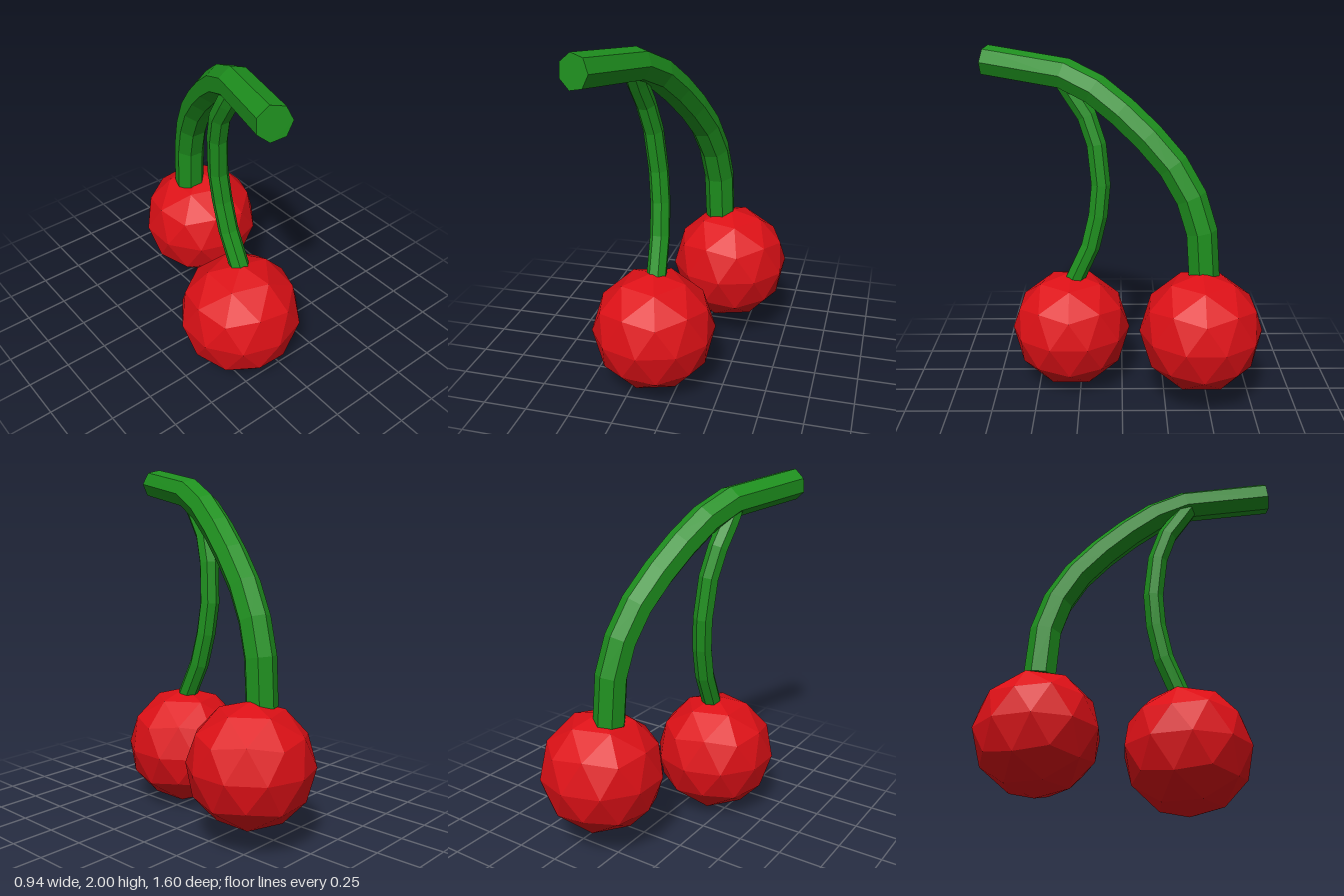
import * as THREE from 'three';

const SIDES = 7;
const ACROSS = new THREE.Vector3(0.947, 0, 0.323); // horizontal, square to the stem's plane

const red = new THREE.MeshStandardMaterial({ color: 0xdd1016, flatShading: true });
const green = new THREE.MeshStandardMaterial({ color: 0x1e8f1e, flatShading: true });

// Seven-sided tube through the given points, closed at both ends
function stem(name, points, radius) {
  const path = points.map(p => new THREE.Vector3(...p));
  const last = path.length - 1;
  const pos = [], index = [];
  const dir = (a, b) => path[b].clone().sub(path[a]).normalize();

  path.forEach((p, i) => {
    const tangent = dir(Math.max(i - 1, 0), Math.max(i, 1))
      .add(dir(Math.min(i, last - 1), Math.min(i + 1, last))).normalize();
    const side = ACROSS.clone().addScaledVector(tangent, -ACROSS.dot(tangent)).normalize();
    const up = side.clone().cross(tangent);
    for (let j = 0; j < SIDES; j++) {
      const a = (j / SIDES) * Math.PI * 2;
      const v = p.clone()
        .addScaledVector(side, radius * Math.cos(a))
        .addScaledVector(up, radius * Math.sin(a));
      pos.push(v.x, v.y, v.z);
    }
  });

  for (let i = 0; i < last; i++) {
    for (let j = 0; j < SIDES; j++) {
      const k = (j + 1) % SIDES;
      const a = i * SIDES + j, b = i * SIDES + k;
      const c = b + SIDES, d = a + SIDES;
      index.push(a, d, b, b, d, c);
    }
  }
  // End caps
  const e = last * SIDES;
  for (let j = 1; j < SIDES - 1; j++) index.push(0, j, j + 1, e, e + j + 1, e + j);

  const geo = new THREE.BufferGeometry();
  geo.setAttribute('position', new THREE.Float32BufferAttribute(pos, 3));
  geo.setIndex(index);
  geo.computeVertexNormals();
  const mesh = new THREE.Mesh(geo, green);
  mesh.name = name;
  return mesh;
}

// Faceted fruit with a corner at the very top
function cherry(name, x, y, z) {
  const geo = new THREE.IcosahedronGeometry(0.35, 1);
  geo.rotateZ(-Math.atan2(2, 1 + Math.sqrt(5)));
  const mesh = new THREE.Mesh(geo, red);
  mesh.name = name;
  mesh.position.set(x, y, z);
  return mesh;
}

export function createModel() {
  const group = new THREE.Group();
  group.name = 'cherryPair';

  group.add(cherry('frontCherry', -0.14, 0.355, 0.305));
  group.add(cherry('backCherry', 0.138, 0.46, -0.447));

  // Main stem lies in one upright plane: [z, y]
  const main = [
    [0.775, 1.917], [0.32, 1.862], [0.15, 1.785], [0, 1.672], [-0.145, 1.54],
    [-0.28, 1.39], [-0.38, 1.22], [-0.44, 1.03], [-0.46, 0.765],
  ].map(([z, y]) => [-0.352 + 0.341 * (0.775 - z), y, z]);
  group.add(stem('mainStem', main, 0.09));

  // Thin stem branching down to the front cherry
  group.add(stem('sideStem', [
    [-0.215, 1.85, 0.34], [-0.21, 1.755, 0.28], [-0.195, 1.63, 0.198],
    [-0.172, 1.47, 0.145], [-0.153, 1.24, 0.122], [-0.14, 1.06, 0.14],
    [-0.132, 0.875, 0.185], [-0.127, 0.67, 0.28],
  ], 0.057));

  return group;
}
